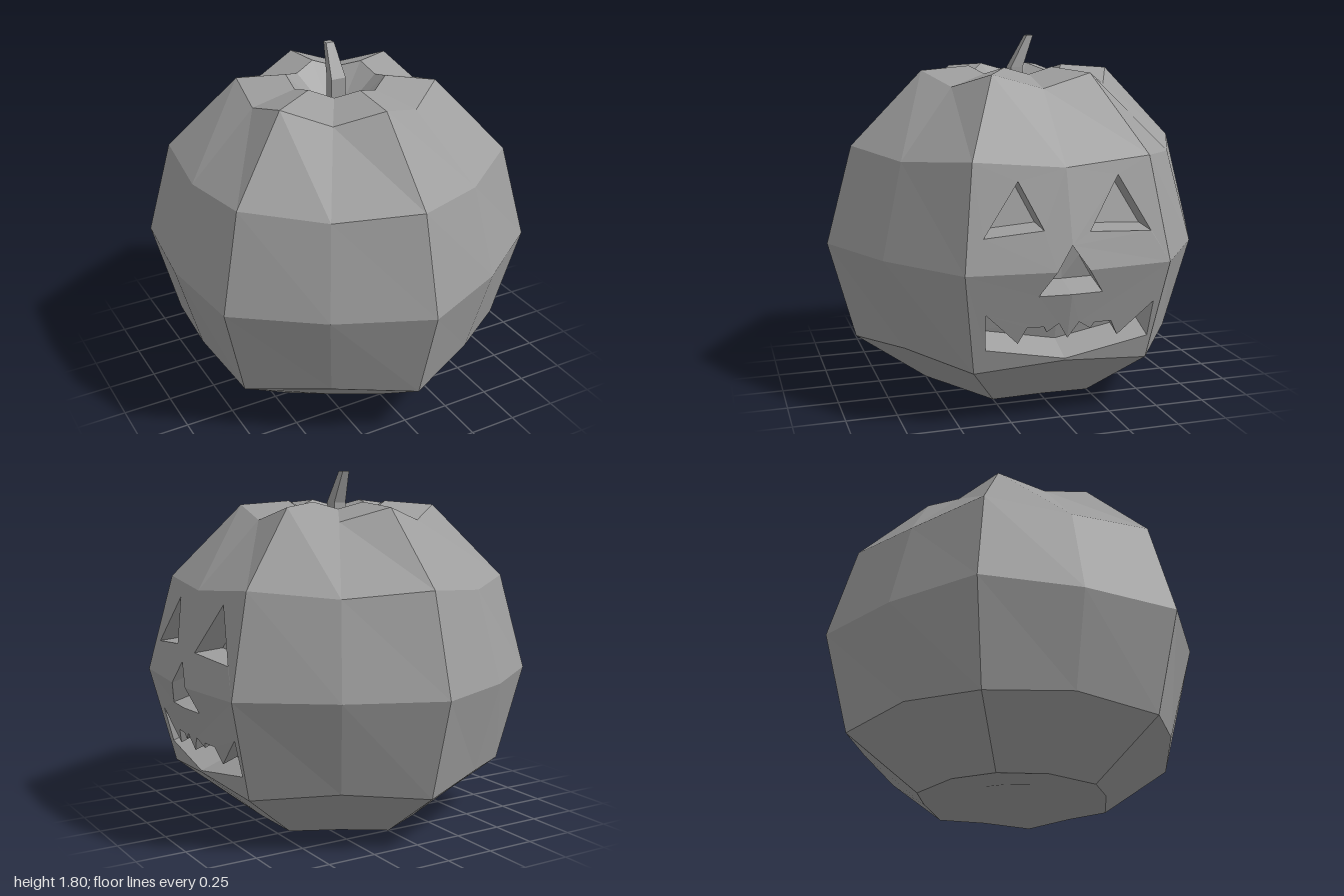
import * as THREE from 'three';

// Body rings from the underside dimple to the top dimple:
// [ridge radius, ridge height, valley radius, valley height]
const RINGS = [
  [0.25, 0.025, 0.23, 0.035],
  [0.5, 0.005, 0.46, 0.02],
  [0.866, 0.265, 0.795, 0.305],
  [1, 0.765, 0.92, 0.765],
  [0.866, 1.26, 0.795, 1.225],
  [0.5, 1.63, 0.46, 1.56],
  [0.25, 1.65, 0.23, 1.615],
];
const SIDES = 12;
const MID_Y = RINGS[3][1];
const BOTTOM = [0, 0.08, 0];
const TOP = [0, 1.4, 0];

const color = 0x9e9e9e;
const grey = new THREE.MeshStandardMaterial({ color, flatShading: true });
const greyDouble = new THREE.MeshStandardMaterial({ color, flatShading: true, side: THREE.DoubleSide });

function meshFromPoints(name, points, material) {
  const g = new THREE.BufferGeometry();
  g.setAttribute('position', new THREE.Float32BufferAttribute(points.flat(), 3));
  g.computeVertexNormals();
  const mesh = new THREE.Mesh(g, material);
  mesh.name = name;
  return mesh;
}

// Odd columns are ridges, even columns are valleys
function ringPoint(row, i) {
  const [rr, ry, vr, vy] = RINGS[row];
  const a = (i * Math.PI * 2) / SIDES;
  const r = i % 2 ? rr : vr;
  return [r * Math.cos(a), i % 2 ? ry : vy, r * Math.sin(a)];
}

function buildBody() {
  const pts = [];
  const last = RINGS.length - 1;
  for (let i = 0; i < SIDES; i++) {
    const j = (i + 1) % SIDES;
    for (let k = 0; k < last; k++) {
      // leave the carved panel open on the +x side
      if ((i === 0 || i === SIDES - 1) && (k === 2 || k === 3)) continue;
      const a = ringPoint(k, i), b = ringPoint(k, j);
      const c = ringPoint(k + 1, j), d = ringPoint(k + 1, i);
      pts.push(a, d, c, a, c, b);
    }
    pts.push(BOTTOM, ringPoint(0, i), ringPoint(0, j));
    pts.push(TOP, ringPoint(last, j), ringPoint(last, i));
  }
  return meshFromPoints('pumpkinBody', pts, grey);
}

// Depth of the carved panel at (a, y), where a = -z
function panelX(a, y) {
  const mid = RINGS[3], end = RINGS[y < MID_Y ? 2 : 4];
  const tr = (y - mid[1]) / (end[1] - mid[1]);
  const tv = (y - mid[3]) / (end[3] - mid[3]);
  const ridge = THREE.MathUtils.lerp(mid[0], end[0], tr);
  const valley = THREE.MathUtils.lerp(mid[2], end[2], tv);
  const s = Math.abs(a) / (ridge * 0.5);
  return THREE.MathUtils.lerp(valley, ridge * Math.cos(Math.PI / 6), s);
}

const toVectors = (pts) => pts.map(([a, y]) => new THREE.Vector2(a, y));
const flip = (pts, s) => pts.map(([a, y]) => [a * s, y]);

// Lays a flat outline on the panel, pushed inward by depth and up by rise
function panelPatch(name, outline, hole, depth = 0, rise = 0) {
  const shape = new THREE.Shape(toVectors(outline));
  if (hole) shape.holes.push(new THREE.Path(toVectors(hole)));
  const g = new THREE.ShapeGeometry(shape);
  const p = g.attributes.position;
  for (let i = 0; i < p.count; i++) {
    const a = p.getX(i), y = p.getY(i);
    p.setXYZ(i, panelX(a, y) - depth, y + rise, -a);
  }
  g.computeVertexNormals();
  const mesh = new THREE.Mesh(g, greyDouble);
  mesh.name = name;
  return mesh;
}

// Side walls of one opening, with its back laid in one or two pieces
function carvedPocket(name, outline, backs, depth, rise) {
  const group = new THREE.Group();
  group.name = name;
  const pts = [];
  outline.forEach(([a, y], i) => {
    const [a2, y2] = outline[(i + 1) % outline.length];
    const p = [panelX(a, y), y, -a], q = [panelX(a2, y2), y2, -a2];
    const pb = [p[0] - depth, y + rise, -a], qb = [q[0] - depth, y2 + rise, -a2];
    pts.push(p, q, qb, p, qb, pb);
  });
  group.add(meshFromPoints(name + 'Walls', pts, greyDouble));
  for (const back of backs) group.add(panelPatch(name + 'Back', back, null, depth, rise));
  return group;
}

// Opening that crosses the centre line, made from its two halves
function centredPocket(name, halves, depth, rise) {
  const [rear, front] = halves;
  const outline = [...rear, ...front.slice(1, -1).reverse()];
  return carvedPocket(name, outline, halves, depth, rise);
}

function buildFace() {
  const face = new THREE.Group();
  face.name = 'carvedFace';
  // Halves run from the centre line outward and back to it
  const noseHalf = [[0, 0.88], [0.078, MID_Y], [0.155, 0.648], [0, 0.65]];
  const mouthHalf = [[0, 0.425], [0.05, 0.503], [0.11, 0.462], [0.125, 0.49], [0.21, 0.49],
    [0.25, 0.41], [0.42, 0.567], [0.41, 0.385], [0, 0.315]];
  const sides = [
    { s: 1, side: 'Rear', eye: [[0.26, 1.18], [0.41, 0.915], [0.095, 0.935]], mouth: flip(mouthHalf, 1.04) },
    { s: -1, side: 'Front', eye: [[-0.23, 1.17], [-0.405, 0.925], [-0.125, 0.95]], mouth: flip(mouthHalf, -0.94) },
  ];

  for (const { s, side, eye, mouth } of sides) {
    const upper = [[0, 0.88], [0, 1.225], [0.433, 1.26], [0.5, MID_Y], [0.078, MID_Y]];
    const lower = [[0, 0.65], [0.155, 0.648], [0.078, MID_Y], [0.5, MID_Y], [0.433, 0.265], [0, 0.305]];
    face.add(panelPatch('upperPanel' + side, flip(upper, s), eye));
    face.add(panelPatch('lowerPanel' + side, [...flip(lower, s), ...[...mouth].reverse()]));
    face.add(carvedPocket('eye' + side, eye, [eye], 0.15, 0.012));
  }
  face.add(centredPocket('nose', sides.map(({ s }) => flip(noseHalf, s)), 0.15, 0.04));
  face.add(centredPocket('mouth', sides.map(({ mouth }) => mouth), 0.15, 0.055));
  return face;
}

// Four-sided stem, upright at the base and leaning back to its tip
function buildStem() {
  // [half width, height, front z, back z]
  const sections = [
    [0.042, 1.4, 0.035, -0.035],
    [0.04, 1.64, 0.035, -0.03],
    [0.022, 1.803, -0.055, -0.09],
  ].map(([w, y, f, b]) => [[-w, y, f], [w, y, f], [w * 0.85, y, b], [-w * 0.85, y, b]]);
  const pts = [];
  for (let k = 0; k < 2; k++) {
    for (let i = 0; i < 4; i++) {
      const j = (i + 1) % 4, lo = sections[k], hi = sections[k + 1];
      pts.push(lo[i], lo[j], hi[j], lo[i], hi[j], hi[i]);
    }
  }
  const t = sections[2];
  pts.push(t[0], t[1], t[2], t[0], t[2], t[3]);
  return meshFromPoints('stem', pts, grey);
}

export function createModel() {
  const model = new THREE.Group();
  model.name = 'carvedPumpkin';
  model.add(buildBody(), buildFace(), buildStem());
  return model;
}
